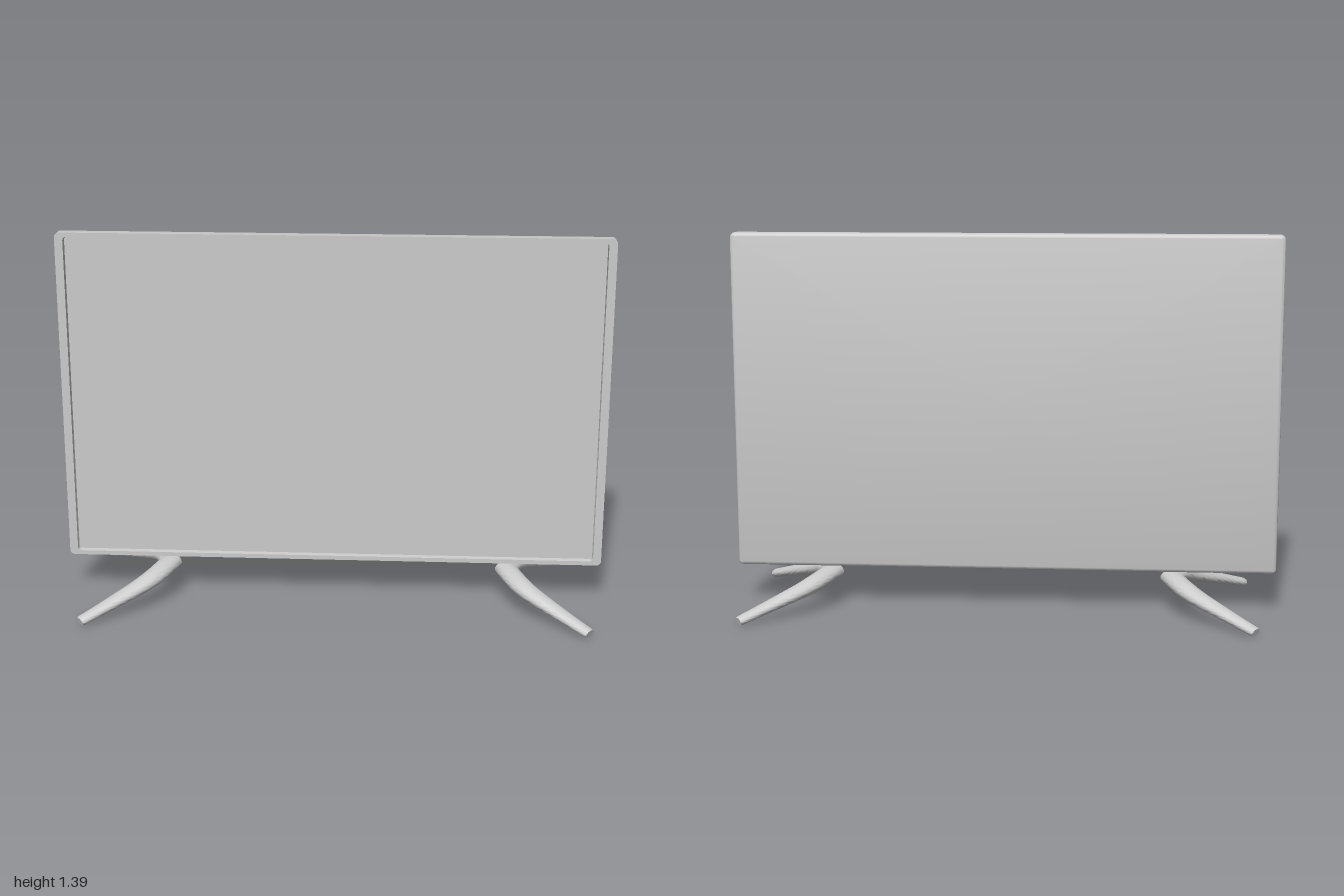
import * as THREE from 'three';
import { toCreasedNormals } from 'three/addons/utils/BufferGeometryUtils.js';

const grey = new THREE.MeshStandardMaterial({ color: 0xcccccc });

// Skin a list of equal-length rings, closing both ends with a fan.
function loft(rings, flip, crease) {
  const n = rings[0].length;
  const points = rings.flat();
  const index = [];
  const tri = (a, b, c) => (flip ? index.push(a, c, b) : index.push(a, b, c));
  for (let r = 0; r < rings.length - 1; r++) {
    for (let i = 0; i < n; i++) {
      const a = r * n + i, b = r * n + (i + 1) % n;
      tri(a, b, a + n);
      tri(b, b + n, a + n);
    }
  }
  const last = (rings.length - 1) * n;
  const centre = (ring) => ring.reduce((s, p) => s.add(p), new THREE.Vector3()).divideScalar(n);
  const first = points.push(centre(rings[0])) - 1;
  const end = points.push(centre(rings[rings.length - 1])) - 1;
  for (let i = 0; i < n; i++) {
    const j = (i + 1) % n;
    tri(first, j, i);
    tri(end, last + i, last + j);
  }
  const geometry = new THREE.BufferGeometry().setFromPoints(points);
  geometry.setIndex(index);
  return toCreasedNormals(geometry, crease);
}

// Rounded rectangle facing the front, centred on the panel.
function panelRing(halfW, halfH, radius, z) {
  const ring = [], steps = 5;
  for (let c = 0; c < 4; c++) {
    const sx = c === 0 || c === 3 ? 1 : -1, sy = c < 2 ? 1 : -1;
    for (let i = 0; i <= steps; i++) {
      const t = (c + i / steps) * Math.PI / 2;
      ring.push(new THREE.Vector3(
        sx * (halfW - radius) + radius * Math.cos(t),
        0.77 + sy * (halfH - radius) + radius * Math.sin(t), z));
    }
  }
  return ring;
}

// Panel: rounded back, thin side, front bezel, recessed screen.
function createPanel() {
  const rings = [];
  const r = 0.014, back = -0.037, front = 0.013;
  for (let i = 0; i <= 4; i++) {
    const t = i / 4 * Math.PI / 2;
    const inset = r * (1 - Math.sin(t));
    rings.push(panelRing(1 - inset, 0.62 - inset, 0.018 - inset, back + r * (1 - Math.cos(t))));
  }
  rings.push(panelRing(1, 0.62, 0.018, front));
  rings.push(panelRing(0.97, 0.604, 0.012, front));
  rings.push(panelRing(0.968, 0.602, 0.011, front - 0.02));
  const mesh = new THREE.Mesh(loft(rings, false, 0.6), grey);
  mesh.name = 'panel';
  return mesh;
}

// One tapering leg, from the joint under the panel out to the foot.
function createLeg(sx, sz) {
  const path = new THREE.CatmullRomCurve3([
    [0.633, 0.122, 0], [0.652, 0.118, 0.05], [0.682, 0.107, 0.11],
    [0.72, 0.092, 0.157], [0.82, 0.056, 0.246], [0.922, 0.019, 0.329],
  ].map((p) => new THREE.Vector3(...p)));
  const rings = [], segments = 24, sides = 24;
  const addRing = (t, scale) => {
    const p = path.getPointAt(t), tangent = path.getTangentAt(t);
    const side = new THREE.Vector3(tangent.z, 0, -tangent.x).normalize();
    const up = new THREE.Vector3().crossVectors(tangent, side);
    // the joint is mitred on the centre plane
    if (t === 0) { side.set(1, 0, 0); up.set(0, 1, 0); }
    const taper = THREE.MathUtils.smoothstep(t, 0.25, 1) * 0.4 + Math.max(0, t - 0.3) / 0.7 * 0.6;
    const w = THREE.MathUtils.lerp(0.041, 0.025, taper) * scale;
    const h = THREE.MathUtils.lerp(0.028, 0.0165, taper) * scale;
    const ring = [];
    for (let i = 0; i < sides; i++) {
      const a = i / sides * Math.PI * 2;
      const v = p.clone().addScaledVector(side, w * Math.cos(a)).addScaledVector(up, h * Math.sin(a));
      ring.push(new THREE.Vector3(v.x * sx + 0.015, v.y, v.z * sz));
    }
    rings.push(ring);
  };
  for (let i = 0; i < segments; i++) addRing(i / segments * 0.985, 1);
  addRing(0.985, 1);
  // slightly eased foot edge
  addRing(1, 0.85);
  const mesh = new THREE.Mesh(loft(rings, sx * sz < 0, 0.7), grey);
  mesh.name = (sz > 0 ? 'front' : 'back') + (sx > 0 ? 'Left' : 'Right') + 'Leg';
  return mesh;
}

export function createModel() {
  const model = new THREE.Group();
  model.name = 'flatScreenTelevision';
  model.add(createPanel());
  for (const sx of [1, -1]) {
    const stand = new THREE.Group();
    stand.name = sx > 0 ? 'leftStand' : 'rightStand';
    for (const sz of [1, -1]) stand.add(createLeg(sx, sz));
    model.add(stand);
  }
  return model;
}
